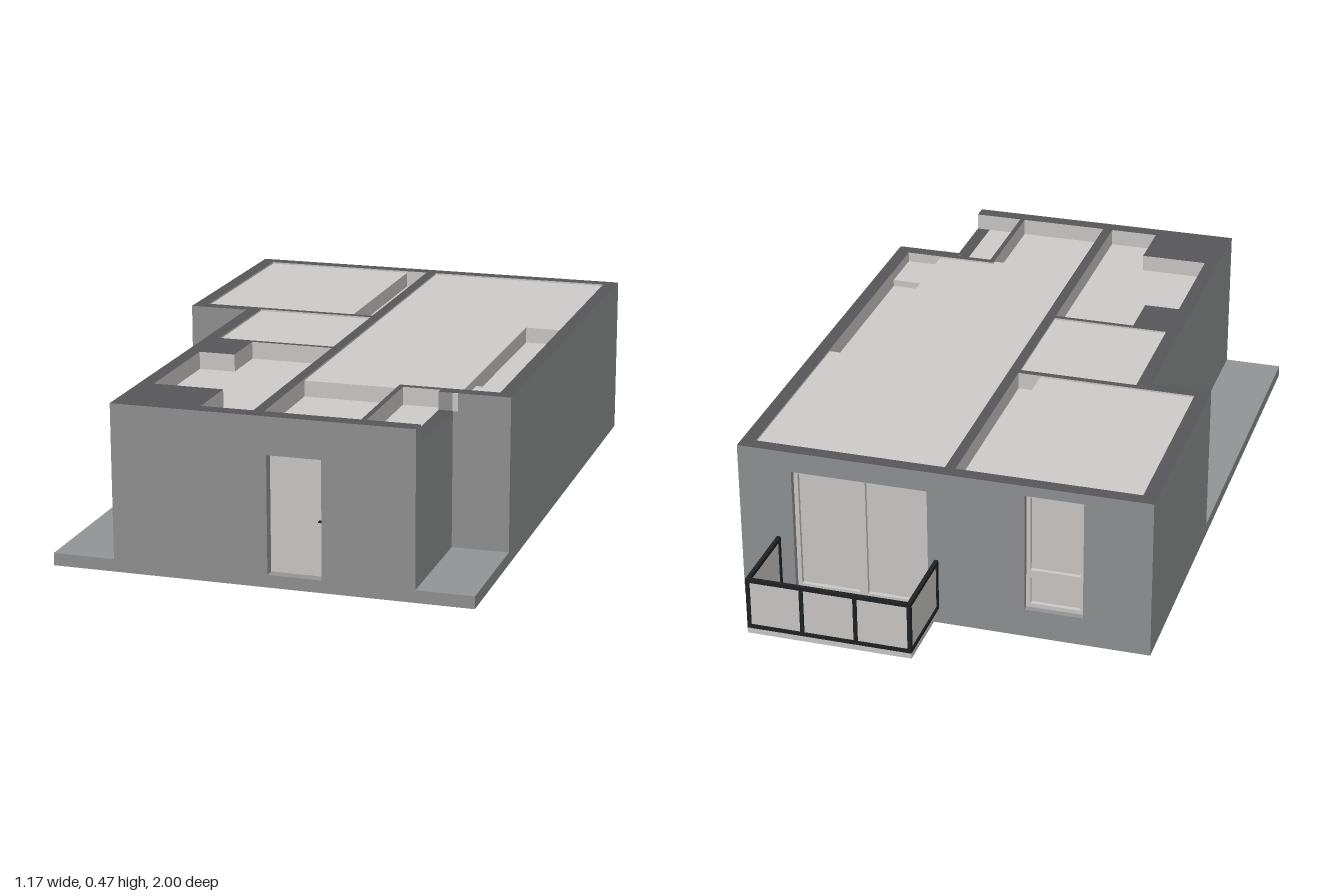
import * as THREE from 'three';

const mat = (name, color, side = THREE.FrontSide) =>
  Object.assign(new THREE.MeshStandardMaterial({ color, side }), { name });

export function createModel() {
  const group = new THREE.Group();
  const wall = mat('wall grey', 0x929394, THREE.DoubleSide);
  const cut = mat('wall top dark grey', 0x565558);
  const light = mat('light grey', 0xcccbc9, THREE.DoubleSide);
  const wood = mat('wood floor', 0xa6957c, THREE.DoubleSide);
  const dark = mat('rail black', 0x1f2123);
  const TOP = 0.47, LOW = 0.42, HIGH = 0.465, FLOOR = 0.035;

  const add = (name, geo, material) => {
    const m = new THREE.Mesh(geo, material);
    m.name = name;
    group.add(m);
    return m;
  };
  const box = (name, m, x0, x1, y0, y1, z0, z1) =>
    add(name, new THREE.BoxGeometry(x1 - x0, y1 - y0, z1 - z0), m)
      .position.set((x0 + x1) / 2, (y0 + y1) / 2, (z0 + z1) / 2);
  const rect = (x0, x1, z0, z1) => [[x0, z0], [x1, z0], [x1, z1], [x0, z1]];
  // Horizontal plate from [x, z] points
  const plate = (name, m, pts, y, holes = []) => {
    const vec = p => p.map(([x, z]) => new THREE.Vector2(x, -z));
    const s = new THREE.Shape(vec(pts));
    holes.forEach(h => s.holes.push(new THREE.Path(vec(h))));
    add(name, new THREE.ShapeGeometry(s).rotateX(-Math.PI / 2).translate(0, y, 0), m);
  };
  // Vertical panel between two plan points
  const panel = (name, m, [ax, az], [bx, bz], y0, y1) => {
    const g = new THREE.PlaneGeometry(Math.hypot(bx - ax, bz - az), y1 - y0);
    g.rotateY(Math.atan2(az - bz, bx - ax));
    add(name, g.translate((ax + bx) / 2, (y0 + y1) / 2, (az + bz) / 2), m);
  };
  const ring = (name, m, pts, y0, y1) =>
    pts.forEach((p, i) => panel(name, m, p, pts[(i + 1) % pts.length], y0, y1));

  // Rooms in plan
  const rooms = {
    bedroom: rect(-0.55, -0.03, -0.72, -0.12),
    smallRoom: rect(-0.375, -0.03, -0.1, 0.265),
    bathroom: [[-0.27, 0.28], [-0.03, 0.28], [-0.03, 0.955], [-0.175, 0.955],
      [-0.175, 0.785], [-0.375, 0.785], [-0.375, 0.43], [-0.27, 0.43]],
    livingRoom: [[0, -0.72], [0.545, -0.72], [0.545, 0.6], [0.265, 0.6], [0.265, 0.955], [0, 0.955]],
  };
  const closet = rect(0.28, 0.385, 0.62, 0.955);

  // Wall tops, with the closet open to the right side
  const roofOutline = [[-0.59, -0.76], [0.585, -0.76], [0.585, 0.64], [0.385, 0.64], [0.385, 0.62],
    [0.28, 0.62], [0.28, 0.955], [0.425, 0.955], [0.425, 1], [-0.415, 1], [-0.415, -0.08], [-0.59, -0.08]];
  plate('wallTop', cut, roofOutline, TOP, Object.values(rooms));
  plate('lowWallTop', cut, rect(0.385, 0.425, 0.64, 0.955), LOW);

  // Room linings, floors and low ceilings
  for (const [name, pts] of Object.entries({ ...rooms, closet })) {
    if (name !== 'closet') ring(name + 'Lining', light, pts, FLOOR, TOP);
    plate(name + 'Floor', wood, pts, FLOOR - 0.003);
    plate(name + 'Ceiling', light, pts, LOW);
  }
  ring('closetLining', light, closet, FLOOR, LOW);
  panel('closetInnerLining', light, [0.28, 0.62], [0.28, 0.955], LOW, TOP);
  panel('closetBackLining', light, [0.28, 0.62], [0.385, 0.62], LOW, TOP);
  panel('closetFrontLining', light, [0.28, 0.955], [0.425, 0.955], LOW, TOP);
  panel('closetReturn', wall, [0.385, 0.64], [0.425, 0.64], LOW, TOP);
  [[-0.16, -0.12], [0.56, 0.75]].forEach(([a, b]) =>
    plate('doorwayFloor', wood, rect(-0.03, 0, a, b), FLOOR - 0.003));

  // Raised ceilings
  box('bedroomHighCeiling', light, -0.55, -0.095, LOW, HIGH, -0.72, -0.12);
  box('smallRoomHighCeiling', light, -0.375, -0.03, LOW, HIGH, -0.1, 0.265);
  box('livingHighCeiling', light, 0, 0.44, LOW, HIGH, -0.72, 0.6);
  box('livingBackCeiling', light, 0.44, 0.545, LOW, HIGH, -0.72, -0.13);
  box('kitchenEndCeiling', light, 0.44, 0.545, LOW, 0.44, 0.45, 0.6);
  box('hallCeilingEdge', light, 0, 0.265, LOW, HIGH, 0.6, 0.62);

  // Outer side walls
  panel('rightWall', wall, [0.585, -0.76], [0.585, 0.64], 0, TOP);
  panel('rightReturnWall', wall, [0.585, 0.64], [0.425, 0.64], 0, TOP);
  panel('closetWall', wall, [0.425, 0.64], [0.425, 0.955], 0, LOW);
  panel('closetCornerWall', wall, [0.425, 0.955], [0.425, 1], 0, TOP);
  panel('leftWall', wall, [-0.415, 1], [-0.415, -0.08], 0, TOP);
  panel('leftReturnWall', wall, [-0.415, -0.08], [-0.59, -0.08], 0, TOP);
  panel('bedroomWall', wall, [-0.59, -0.08], [-0.59, -0.76], 0, TOP);
  box('ventPlate', light, 0.425, 0.44, LOW, TOP, 0.639, 0.643);

  // Front and back walls with recessed openings [x0, x1, y0, y1]
  const openWall = (name, x0, x1, z, inward, openings) => {
    const path = (a, b, c, d) =>
      [[a, c], [b, c], [b, d], [a, d]].map(p => new THREE.Vector2(...p));
    const s = new THREE.Shape(path(x0, x1, 0, TOP));
    openings.forEach(o => s.holes.push(new THREE.Path(path(...o))));
    add(name, new THREE.ShapeGeometry(s).translate(0, 0, z), wall);
    const zi = z + inward, zs = [Math.min(z, zi), Math.max(z, zi)];
    for (const [a, b, c, d] of openings) {
      [a, b].forEach(x => panel('openingReveal', wall, [x, z], [x, zi], c, d));
      [c, d].forEach(y => plate('openingReveal', wall, rect(a, b, ...zs), y));
      panel('openingPanel', light, [a, zi], [b, zi], c, d);
    }
  };
  openWall('frontWall', -0.415, 0.425, 1, -0.03, [[0.02, 0.17, FLOOR, 0.365]]);
  openWall('backWall', -0.59, 0.585, -0.76, 0.03,
    [[0.04, 0.43, FLOOR, 0.41], [-0.4, -0.235, 0.085, 0.44]]);
  box('doorHandle', dark, 0.155, 0.168, 0.186, 0.19, 0.97, 0.98);

  // Frames of the sliding door and the window
  const frame = (name, a, b, c, d) => {
    const t = 0.012, z0 = -0.742, z1 = -0.728;
    [a, b - t].forEach(x => box(name, light, x, x + t, c, d, z0, z1));
    [c, d - t].forEach(y => box(name, light, a, b, y, y + t, z0, z1));
  };
  frame('slidingDoorFrame', 0.04, 0.235, FLOOR, 0.41);
  frame('slidingDoorFrame', 0.235, 0.43, FLOOR, 0.41);
  frame('windowFrame', -0.4, -0.235, 0.085, 0.19);
  frame('windowFrame', -0.4, -0.235, 0.19, 0.44);

  // Side terraces, hollow underneath
  [['leftTerrace', rect(-0.59, -0.415, -0.08, 1)], ['rightTerrace', rect(0.425, 0.585, 0.64, 1)]]
    .forEach(([name, pts]) => {
      plate(name, wall, pts, FLOOR);
      ring(name + 'Rim', wall, pts, 0, FLOOR);
    });

  // Balcony with framed panels
  const X0 = 0.01, X1 = 0.48, Z0 = -1, Z1 = -0.76, t = 0.011;
  box('balconySlab', light, X0, X1, 0.03, 0.046, Z0, Z1);
  const span = (X1 - X0 - t) / 3;
  for (let i = 0; i < 4; i++)
    box('railPost', dark, X0 + i * span, X0 + i * span + t, 0.046, 0.2, Z0, Z0 + t);
  [0.046, 0.2 - t].forEach(y => box('backRail', dark, X0, X1, y, y + t, Z0, Z0 + t));
  box('backGlass', light, X0 + t, X1 - t, 0.057, 0.19, Z0 + 0.004, Z0 + 0.008);
  [X0, X1 - t].forEach(x => {
    box('railPost', dark, x, x + t, 0.046, 0.2, Z1 - t, Z1);
    [0.046, 0.2 - t].forEach(y => box('sideRail', dark, x, x + t, y, y + t, Z0, Z1));
    box('sideGlass', light, x + 0.004, x + 0.008, 0.057, 0.19, Z0 + t, Z1 - t);
  });
  return group;
}
